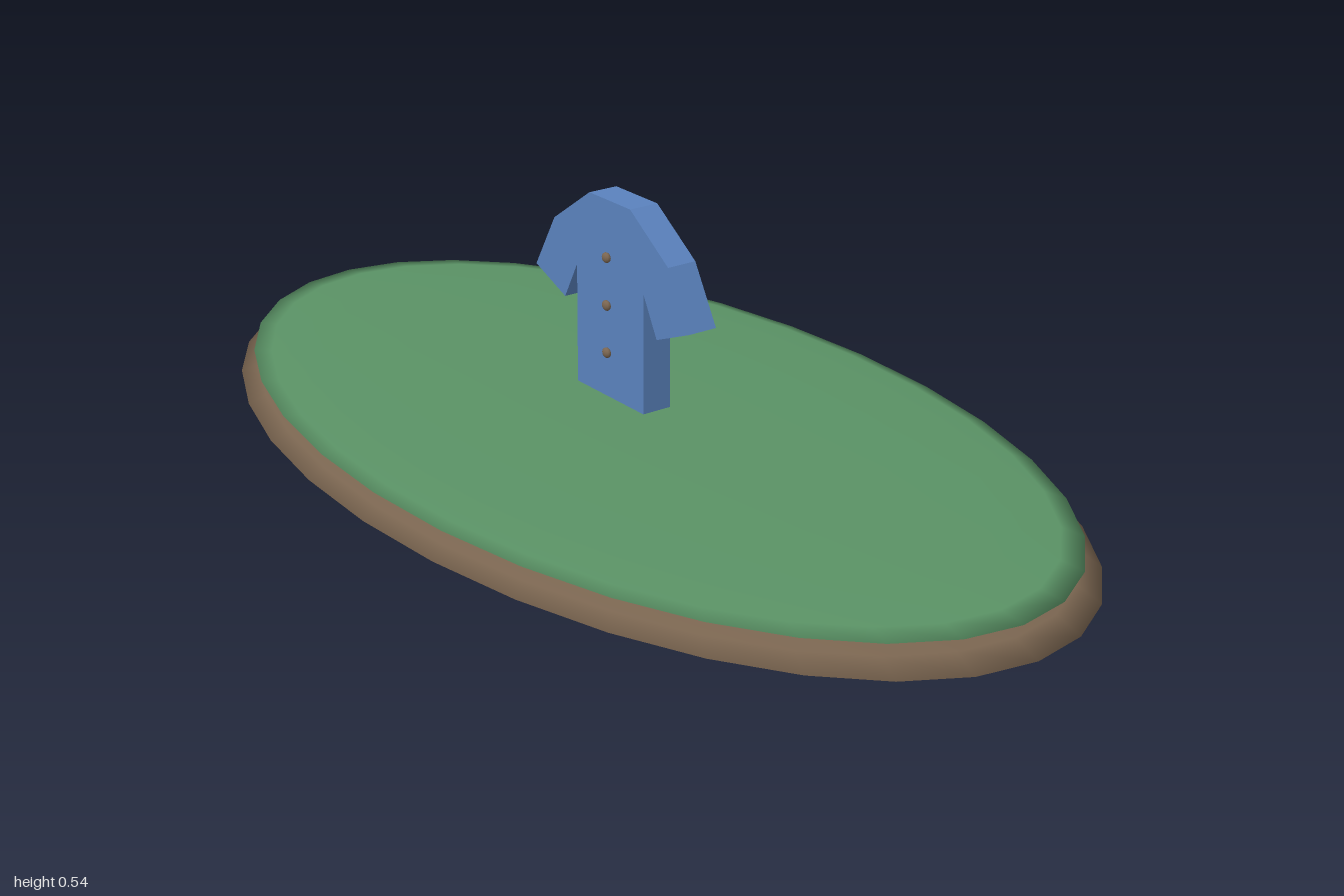
import * as THREE from 'three';

const earth = new THREE.MeshStandardMaterial({ color: 0x7a6550 });
earth.name = 'earthBrown';
const grass = new THREE.MeshStandardMaterial({ color: 0x5a9265 });
grass.name = 'grassGreen';
const cloth = new THREE.MeshStandardMaterial({ color: 0x5a82bd });
cloth.name = 'clothBlue';

// Squashed sphere with the given half sizes
function ellipsoid(name, material, radii, position, sides, rings) {
  const geometry = new THREE.SphereGeometry(1, sides, rings).scale(...radii);
  const mesh = new THREE.Mesh(geometry, material);
  mesh.name = name;
  mesh.position.set(...position);
  return mesh;
}

export function createModel() {
  const model = new THREE.Group();
  model.name = 'shirtOnIsland';

  // Island: earth disc with a thinner grass cap
  model.add(ellipsoid('earthBase', earth, [1, 0.059, 0.545], [0, 0.059, 0], 32, 10));
  model.add(ellipsoid('grassTop', grass, [0.966, 0.018, 0.523], [0, 0.104, 0], 32, 10));

  const shirt = new THREE.Group();
  shirt.name = 'shirt';
  shirt.position.x = 0.072;
  model.add(shirt);

  // Right half of the outline, hem to collar, mirrored for the other half
  const half = [
    [0.094, 0.193], [0.094, 0.404], [0.13, 0.336],
    [0.216, 0.371], [0.16, 0.469], [0.057, 0.54],
  ];
  const outline = [...half, ...half.map(([x, y]) => [-x, y]).reverse()];
  const shape = new THREE.Shape(outline.map(([x, y]) => new THREE.Vector2(x, y)));
  const body = new THREE.Mesh(
    new THREE.ExtrudeGeometry(shape, { depth: 0.055, bevelEnabled: false }), cloth);
  body.name = 'shirtBody';
  body.position.z = 0.045;
  shirt.add(body);

  // Buttons down the front
  for (const y of [0.275, 0.359, 0.443]) {
    shirt.add(ellipsoid('button', earth, [0.01, 0.009, 0.006], [0, y, 0.107], 12, 8));
  }
  return model;
}
